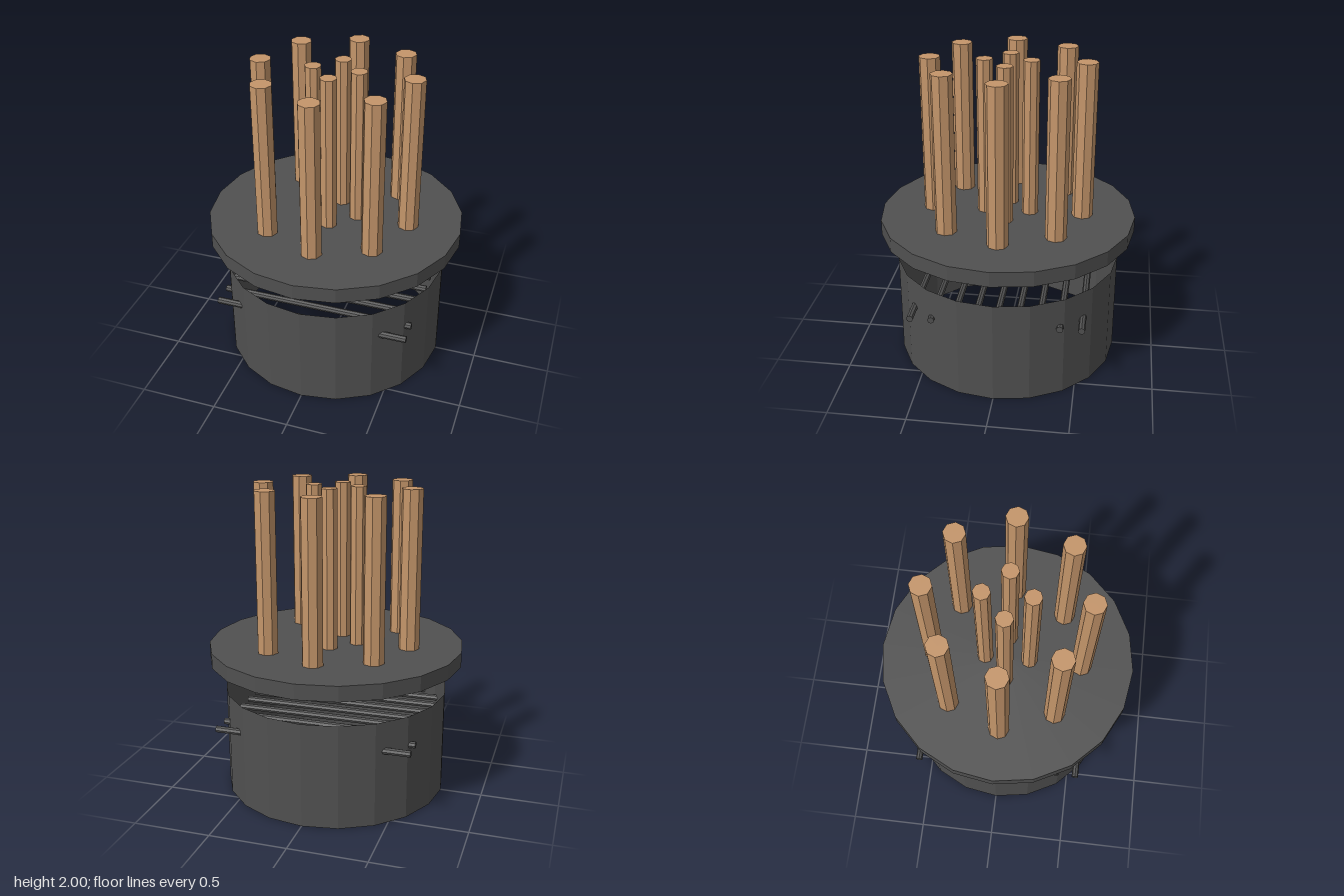
import * as THREE from 'three';

export function createModel() {
  const model = new THREE.Group();
  const iron = new THREE.MeshStandardMaterial({ name: 'dark iron', color: 0x505050, flatShading: true });
  const shell = new THREE.MeshStandardMaterial({ name: 'dark iron shell', color: 0x505050, flatShading: true, side: THREE.DoubleSide });
  const wood = new THREE.MeshStandardMaterial({ name: 'wood', color: 0xc4956a, flatShading: true });

  const add = (name, geometry, material, x, y, z, parent = model) => {
    const mesh = new THREE.Mesh(geometry, material);
    mesh.name = name;
    mesh.position.set(x, y, z);
    parent.add(mesh);
    return mesh;
  };
  const group = (name) => {
    const g = new THREE.Group();
    g.name = name;
    model.add(g);
    return g;
  };

  // Open drum and the plate floating above it
  add('drum', new THREE.CylinderGeometry(0.73, 0.73, 0.683, 20, 1, true), shell, 0, 0.3415, 0);
  add('plate', new THREE.CylinderGeometry(0.83, 0.83, 0.098, 20), iron, 0, 0.927, 0);

  // Grate of parallel rods running through the drum wall
  const grate = group('grate');
  const rodGeometry = new THREE.CylinderGeometry(0.022, 0.022, 1.27, 8).rotateZ(Math.PI / 2);
  for (let i = -4; i <= 4; i++) add('grateRod', rodGeometry, iron, 0, 0.49, i * 0.1345, grate);

  // Two rings of upright pegs standing on the plate
  const pegRing = (name, count, ringRadius, pegRadius) => {
    const ring = group(name);
    const geometry = new THREE.CylinderGeometry(pegRadius, pegRadius, 1.03, 8);
    for (let i = 0; i < count; i++) {
      const a = (i / count) * Math.PI * 2;
      add('peg', geometry, wood, Math.cos(a) * ringRadius, 1.485, Math.sin(a) * ringRadius, ring);
    }
  };
  pegRing('outerPegs', 8, 0.488, 0.068);
  pegRing('innerPegs', 4, 0.146, 0.053);

  return model;
}
